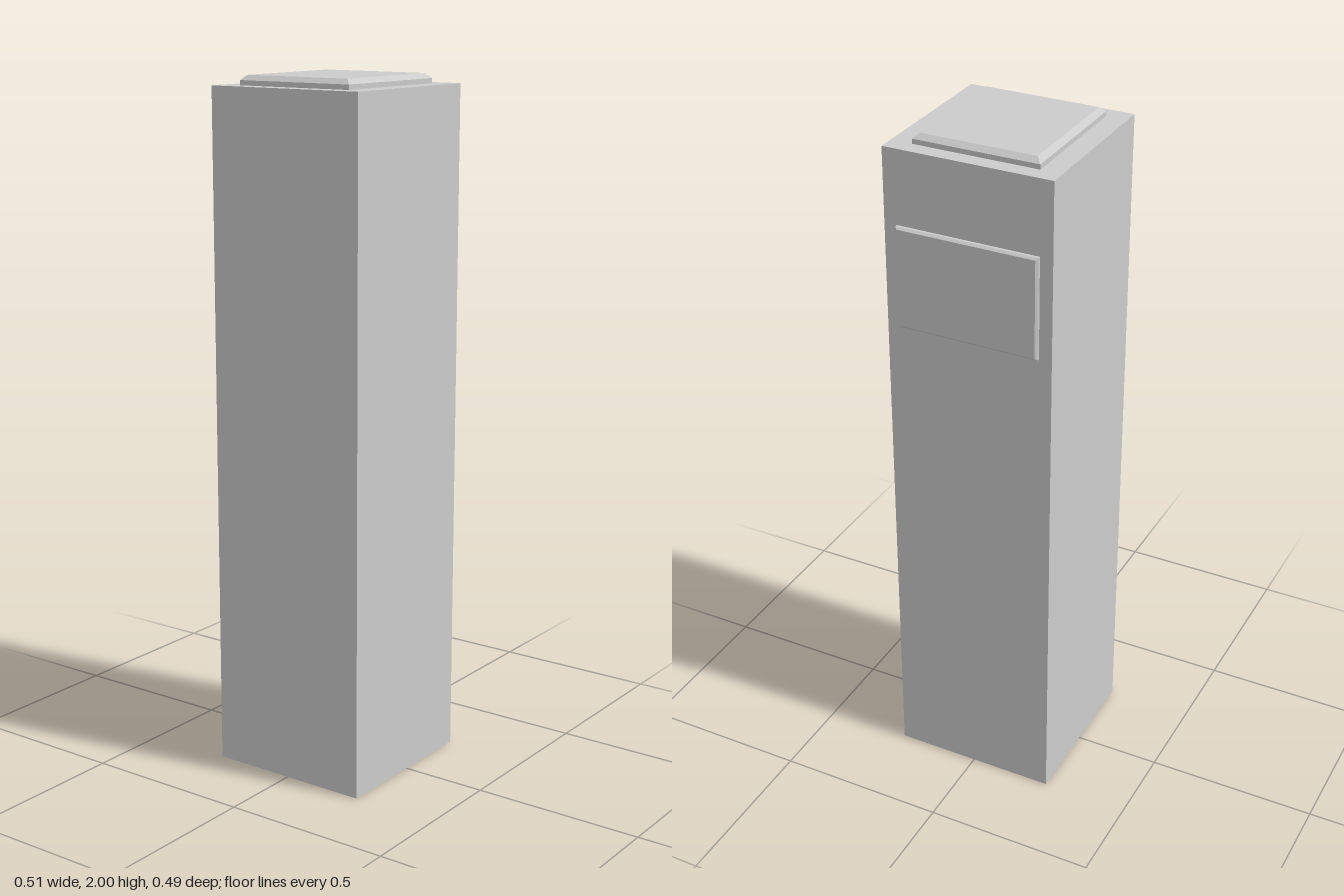
import * as THREE from 'three';

const material = new THREE.MeshStandardMaterial({ color: 0xcccccc, flatShading: true });

// Slab standing on y = 0: straight sides up to `shoulder`, then a chamfer narrowing by `inset` to `height`.
function chamferedSlab(width, depth, height, shoulder, inset) {
  const box = new THREE.BoxGeometry(width, height, depth, 1, 2, 1);
  const p = box.attributes.position;
  for (let i = 0; i < p.count; i++) {
    const y = p.getY(i);
    if (y > height * 0.25) {
      p.setXYZ(i, p.getX(i) - Math.sign(p.getX(i)) * inset, height, p.getZ(i) - Math.sign(p.getZ(i)) * inset);
    } else {
      p.setY(i, y < -height * 0.25 ? 0 : shoulder);
    }
  }
  const geometry = box.toNonIndexed();
  geometry.computeVertexNormals();
  return geometry;
}

function addPart(group, name, geometry, x, y, z) {
  const mesh = new THREE.Mesh(geometry, material);
  mesh.name = name;
  mesh.position.set(x, y, z);
  group.add(mesh);
  return mesh;
}

export function createModel() {
  const group = new THREE.Group();
  group.name = 'pedestal';
  const bodyHeight = 1.972, bodyWidth = 0.491, bodyX = -0.0075;

  // Tall square pillar
  addPart(group, 'pillar', new THREE.BoxGeometry(bodyWidth, bodyHeight, bodyWidth), bodyX, bodyHeight / 2, 0);

  // Chamfered plate on top
  addPart(group, 'topPlate', chamferedSlab(0.397, 0.366, 0.028, 0.014, 0.015), bodyX, bodyHeight, -0.001);

  // Chamfered plaque on the +x side, turned so its face points outward
  const plaque = addPart(group, 'sidePlaque', chamferedSlab(0.296, 0.416, 0.0145, 0.008, 0.006), bodyX + bodyWidth / 2, 1.61, 0);
  plaque.rotation.z = -Math.PI / 2;

  return group;
}
